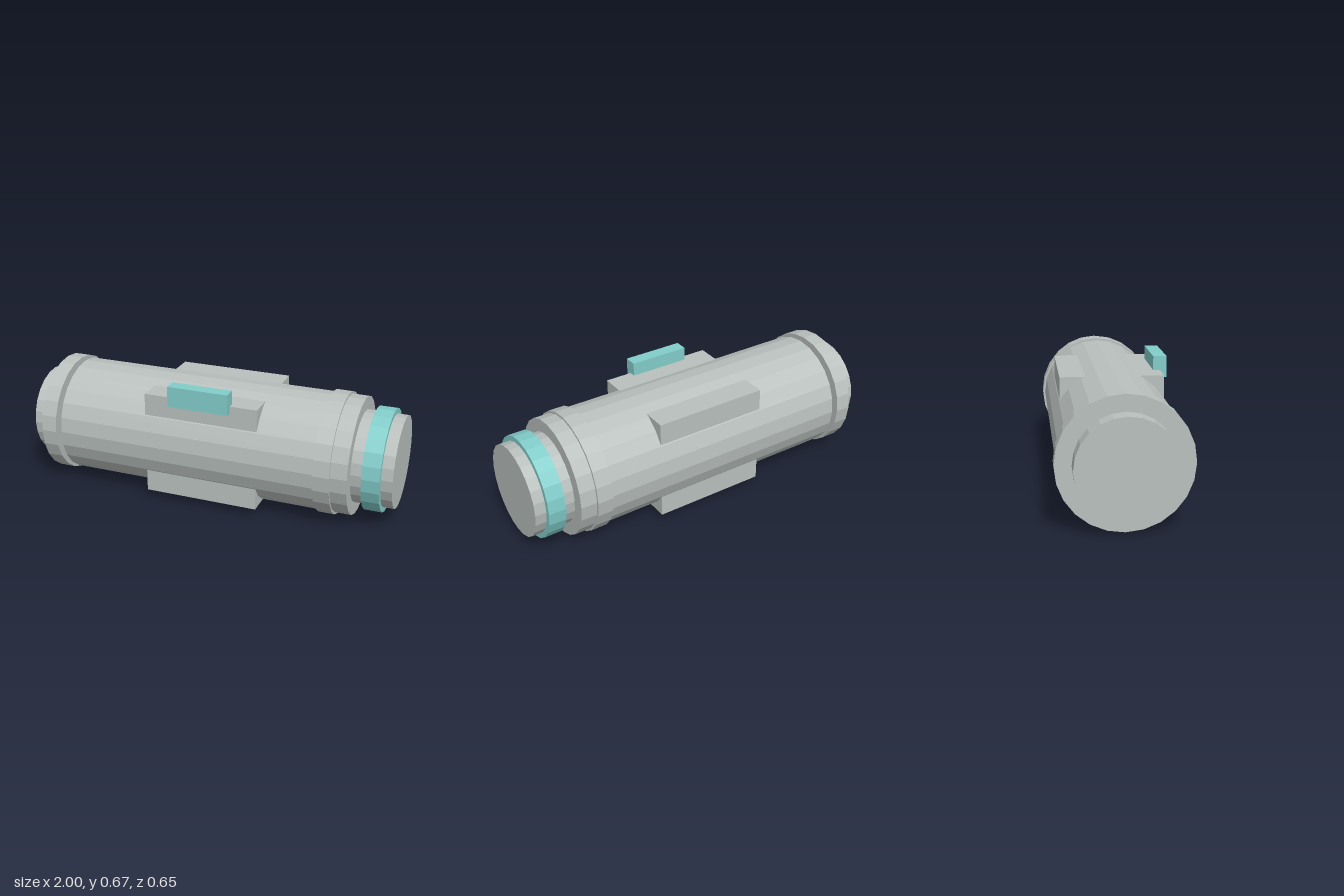
import * as THREE from 'three';

const AXIS_Y = 0.325; // height of the capsule's long axis

export function createModel() {
  const model = new THREE.Group();
  model.name = 'canister';

  const grey = new THREE.MeshStandardMaterial({ color: 0xb9c0bd, flatShading: true });
  grey.name = 'hull grey';
  const teal = new THREE.MeshStandardMaterial({ color: 0x82cdca, flatShading: true });
  teal.name = 'accent teal';

  const add = (name, geometry, material, x, y, z) => {
    const mesh = new THREE.Mesh(geometry, material);
    mesh.name = name;
    mesh.position.set(x, y, z);
    model.add(mesh);
  };

  // 24-sided drum lying along x from x0 to x1
  const drum = (name, radius, x0, x1, material) => {
    const geometry = new THREE.CylinderGeometry(radius, radius, x1 - x0, 24);
    geometry.rotateZ(-Math.PI / 2);
    add(name, geometry, material, (x0 + x1) / 2, AXIS_Y, 0);
  };

  // Box given by its lower and upper corners
  const block = (name, [x0, y0, z0], [x1, y1, z1], material) =>
    add(name, new THREE.BoxGeometry(x1 - x0, y1 - y0, z1 - z0), material,
      (x0 + x1) / 2, (y0 + y1) / 2, (z0 + z1) / 2);

  // Body: inner core, outer hull and raised collars
  drum('core', 0.242, -1, 1, grey);
  drum('hull', 0.311, -0.797, 0.79, grey);
  drum('rightCollar', 0.323, -0.908, -0.822, grey);
  drum('leftCollar', 0.323, 0.618, 0.704, grey);
  drum('accentRing', 0.27, 0.85, 0.942, teal);

  // Square block whose four edges break through the hull
  block('cornerBlock', [-0.308, 0.046, -0.265], [0.308, 0.603, 0.265], grey);

  // Control panel on the upper front edge
  block('controlPanel', [-0.163, 0.565, 0.23], [0.163, 0.675, 0.3], teal);

  return model;
}
